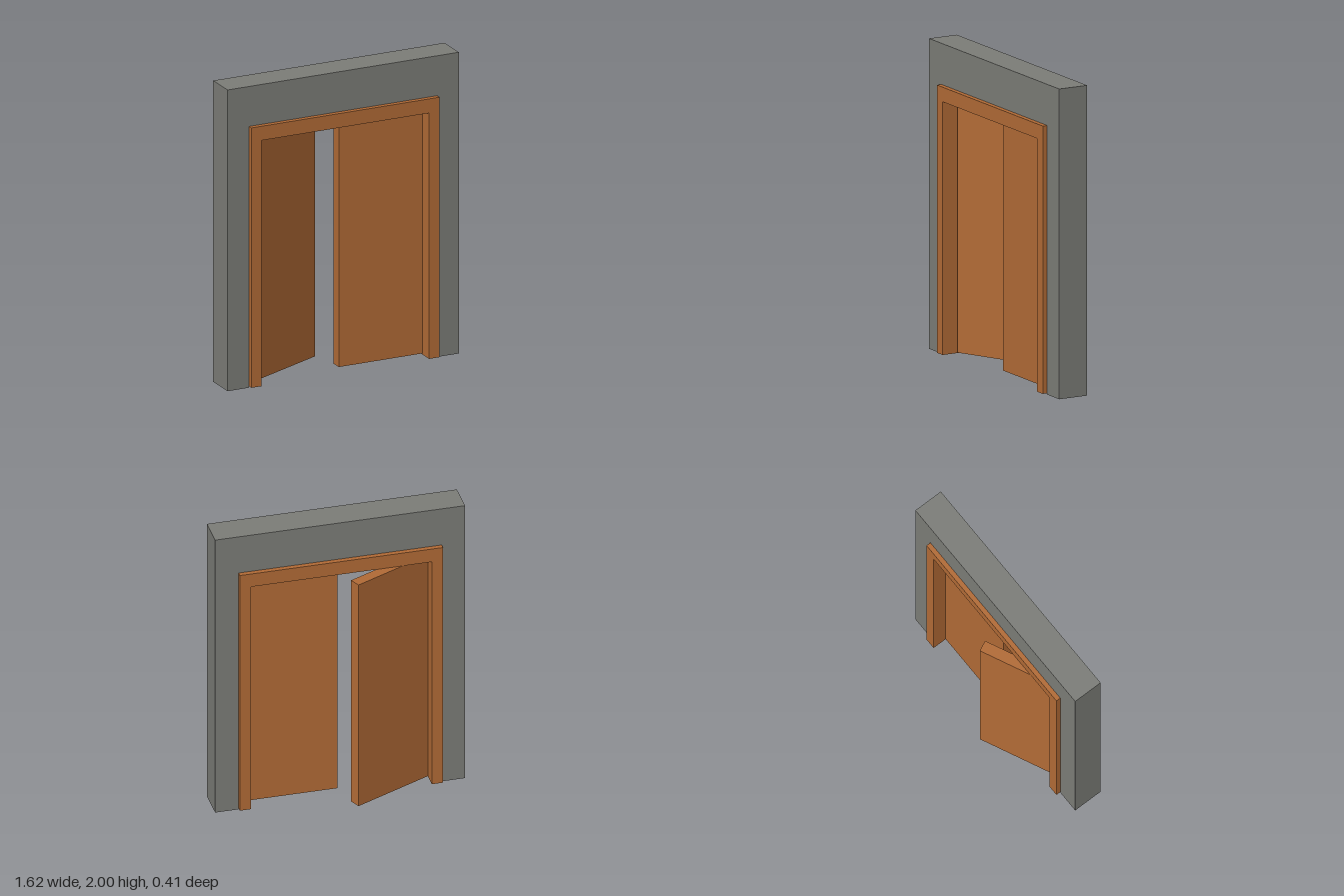
import * as THREE from 'three';

const MID_Z = 0.0775; // middle plane of wall, frame and doors

// Upside-down U outline, extruded around the middle plane
function archGeometry(outer, top, inner, innerTop, bottom, depth) {
  const shape = new THREE.Shape([
    [-outer, bottom], [-inner, bottom], [-inner, innerTop], [inner, innerTop],
    [inner, bottom], [outer, bottom], [outer, top], [-outer, top],
  ].map(([x, y]) => new THREE.Vector2(x, y)));
  const geometry = new THREE.ExtrudeGeometry(shape, { depth, bevelEnabled: false });
  return geometry.translate(0, 0, MID_Z - depth / 2);
}

// Remove the triangles lying entirely below a height, leaving the ends open
function openBelow(geometry, height) {
  const source = geometry.index ? geometry.toNonIndexed() : geometry;
  const p = source.attributes.position;
  const kept = [];
  for (let i = 0; i < p.count; i += 3) {
    if (Math.max(p.getY(i), p.getY(i + 1), p.getY(i + 2)) > height) {
      for (let k = i; k < i + 3; k++) kept.push(p.getX(k), p.getY(k), p.getZ(k));
    }
  }
  const result = new THREE.BufferGeometry();
  result.setAttribute('position', new THREE.Float32BufferAttribute(kept, 3));
  result.computeVertexNormals();
  return result;
}

export function createModel() {
  const group = new THREE.Group();
  const stone = new THREE.MeshStandardMaterial({ color: 0x7c7d78 });
  stone.name = 'stone grey';
  const wood = new THREE.MeshStandardMaterial({ color: 0xb26b36, side: THREE.DoubleSide });
  wood.name = 'warm wood';

  // Wall around the doorway
  const wall = new THREE.Mesh(archGeometry(0.812, 2, 0.662, 1.735, 0, 0.203), stone);
  wall.name = 'wall';
  group.add(wall);

  // Hollow frame, open at the feet, standing proud of the wall on both sides
  const frameGeometry = openBelow(archGeometry(0.66, 1.734, 0.588, 1.64, 0.008, 0.264), 0.02);
  const frame = new THREE.Mesh(frameGeometry, wood);
  frame.name = 'doorFrame';
  group.add(frame);

  // Two leaves hung on the jambs: one closed, one swung back
  const width = 0.587, height = 1.623, thickness = 0.074;
  for (const [name, side, angle] of [['closedDoor', 1, 0], ['openDoor', -1, 25]]) {
    const hinge = new THREE.Group();
    hinge.name = name + 'Hinge';
    hinge.position.set(side * 0.588, 0.015, MID_Z);
    hinge.rotation.y = THREE.MathUtils.degToRad(angle);
    const leaf = new THREE.Mesh(new THREE.BoxGeometry(width, height, thickness), wood);
    leaf.name = name;
    leaf.position.set(-side * width / 2, height / 2, 0);
    hinge.add(leaf);
    group.add(hinge);
  }

  return group;
}
